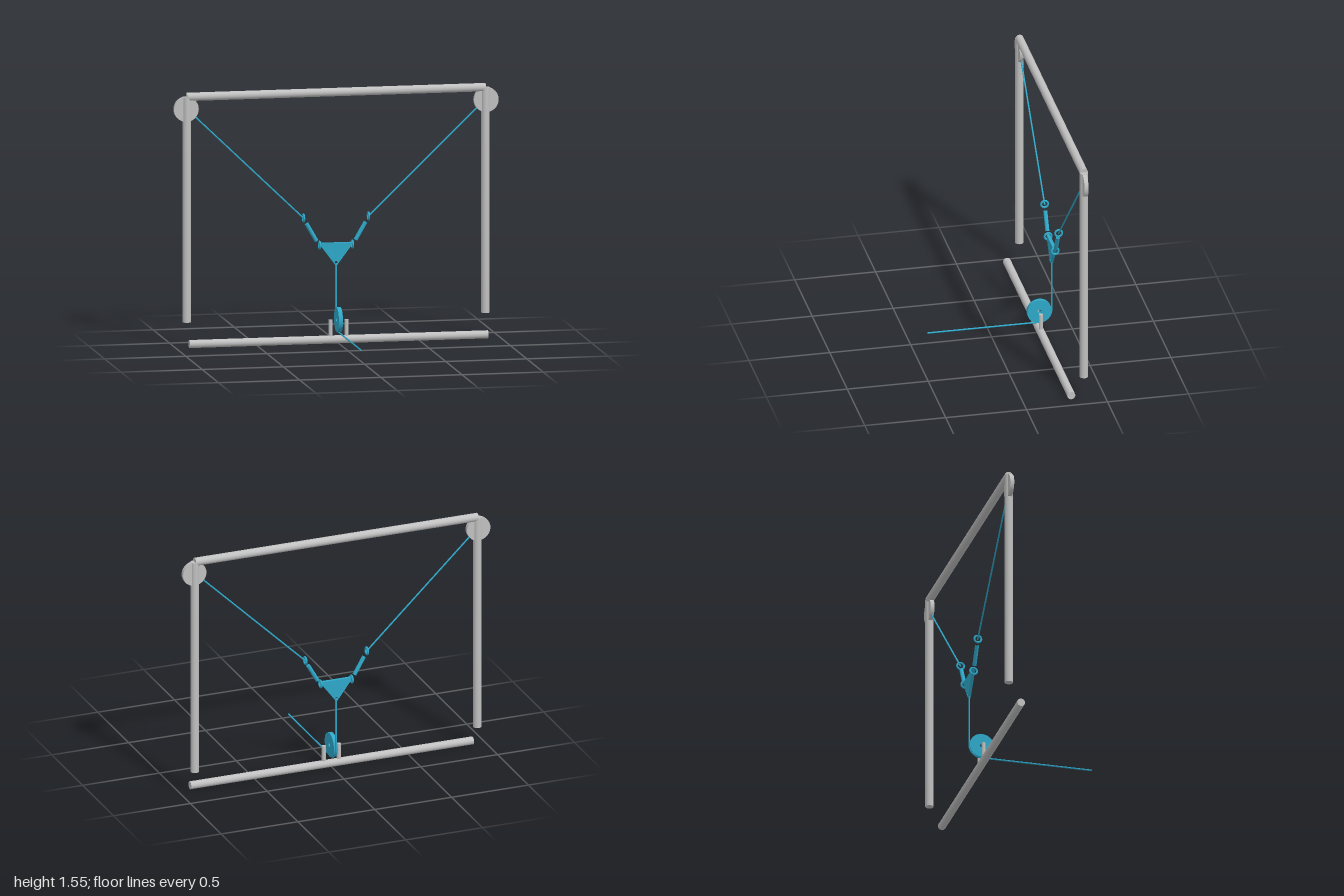
import * as THREE from 'three';

const V = (x, y, z) => new THREE.Vector3(x, y, z);
const Z = -0.371;      // plane of the upright frame and ropes
const ZB = -0.294;     // base bar and lower pulley
const R = 0.0255;      // frame tube radius
const ROPE = 0.005;

export function createModel() {
  const model = new THREE.Group();
  const grey = new THREE.MeshStandardMaterial({ color: 0xc0c0c0 });
  grey.name = 'grey steel';
  const blue = new THREE.MeshStandardMaterial({ color: 0x2ea8c9 });
  blue.name = 'blue';

  const add = (name, geo, mat) => {
    const mesh = new THREE.Mesh(geo, mat);
    mesh.name = name;
    model.add(mesh);
    return mesh;
  };

  // round bar between two points
  const rod = (name, a, b, r, mat, sides = 32) => {
    const d = b.clone().sub(a);
    const mesh = add(name, new THREE.CylinderGeometry(r, r, d.length(), sides), mat);
    mesh.position.copy(a).add(b).multiplyScalar(0.5);
    mesh.quaternion.setFromUnitVectors(V(0, 1, 0), d.normalize());
    return mesh;
  };

  // disc with a bored centre, axis along z
  const pulley = (name, mat) => {
    const t = 0.025;
    const shape = new THREE.Shape().absarc(0, 0, 0.076, 0, Math.PI * 2);
    shape.holes.push(new THREE.Path().absarc(0, 0, 0.0125, 0, Math.PI * 2, true));
    const geo = new THREE.ExtrudeGeometry(shape, { depth: t, bevelEnabled: false, curveSegments: 48 });
    geo.translate(0, 0, -t / 2);
    return add(name, geo, mat);
  };

  // frame
  rod('topBar', V(-0.92, 1.525, Z), V(0.92, 1.525, Z), R, grey);
  rod('baseBar', V(-0.92, 0.0245, ZB), V(0.92, 0.0245, ZB), 0.0245, grey);

  for (const s of [-1, 1]) {
    const side = s > 0 ? 'left' : 'right';
    rod(side + 'Post', V(s * 0.92, 0.146, Z), V(s * 0.92, 1.525, Z), R, grey);
    pulley(side + 'Pulley', grey).position.set(s * 0.924, 1.45, Z);
    rod(side + 'PulleyBracket', V(s * 0.049, 0.03, ZB), V(s * 0.049, 0.145, ZB), 0.0125, grey, 24);

    // upper rope, connecting link and its two rings
    rod(side + 'Rope', V(s * 0.905, 1.437, Z), V(s * 0.198, 0.757, Z), ROPE, blue, 12);
    rod(side + 'Link', V(s * 0.182, 0.725, Z), V(s * 0.12, 0.617, Z), 0.0125, blue, 24);
    for (const [name, x, y] of [['UpperRing', 0.2, 0.76], ['LowerRing', 0.101, 0.591]]) {
      const ring = add(side + name, new THREE.TorusGeometry(0.0215, 0.0065, 12, 32), blue);
      ring.rotation.y = Math.PI / 2;
      ring.position.set(s * x, y, Z);
    }
  }

  // triangular plate with a hole near its lower corner
  const tri = new THREE.Shape([[-0.108, 0.604], [0, 0.46], [0.108, 0.604]].map(p => new THREE.Vector2(...p)));
  tri.holes.push(new THREE.Path().absarc(0, 0.483, 0.009, 0, Math.PI * 2, true));
  const plate = new THREE.ExtrudeGeometry(tri, { depth: 0.02, bevelEnabled: false, curveSegments: 16 });
  plate.translate(0, 0, Z - 0.01);
  add('triangularPlate', plate, blue);

  // lower pulley, turned to run front to back
  const low = pulley('lowerPulley', blue);
  low.rotation.y = Math.PI / 2;
  low.position.set(0, 0.145, ZB);

  // lower rope: down, a quarter turn round the pulley, then out to the front
  const rr = 0.077;
  rod('verticalRope', V(0, 0.476, ZB - rr), V(0, 0.145, ZB - rr), ROPE, blue, 12);
  rod('frontRope', V(0, 0.145 - rr, ZB), V(0, 0.145 - rr, 0.396), ROPE, blue, 12);
  const bend = add('ropeBend', new THREE.TorusGeometry(rr, ROPE, 12, 24, Math.PI / 2), blue);
  bend.rotation.set(0, Math.PI / 2, Math.PI, 'YXZ');
  bend.scale.x = 1;
  bend.rotation.set(0, Math.PI / 2, -Math.PI / 2, 'YXZ');
  bend.position.set(0, 0.145, ZB);
  return model;
}
